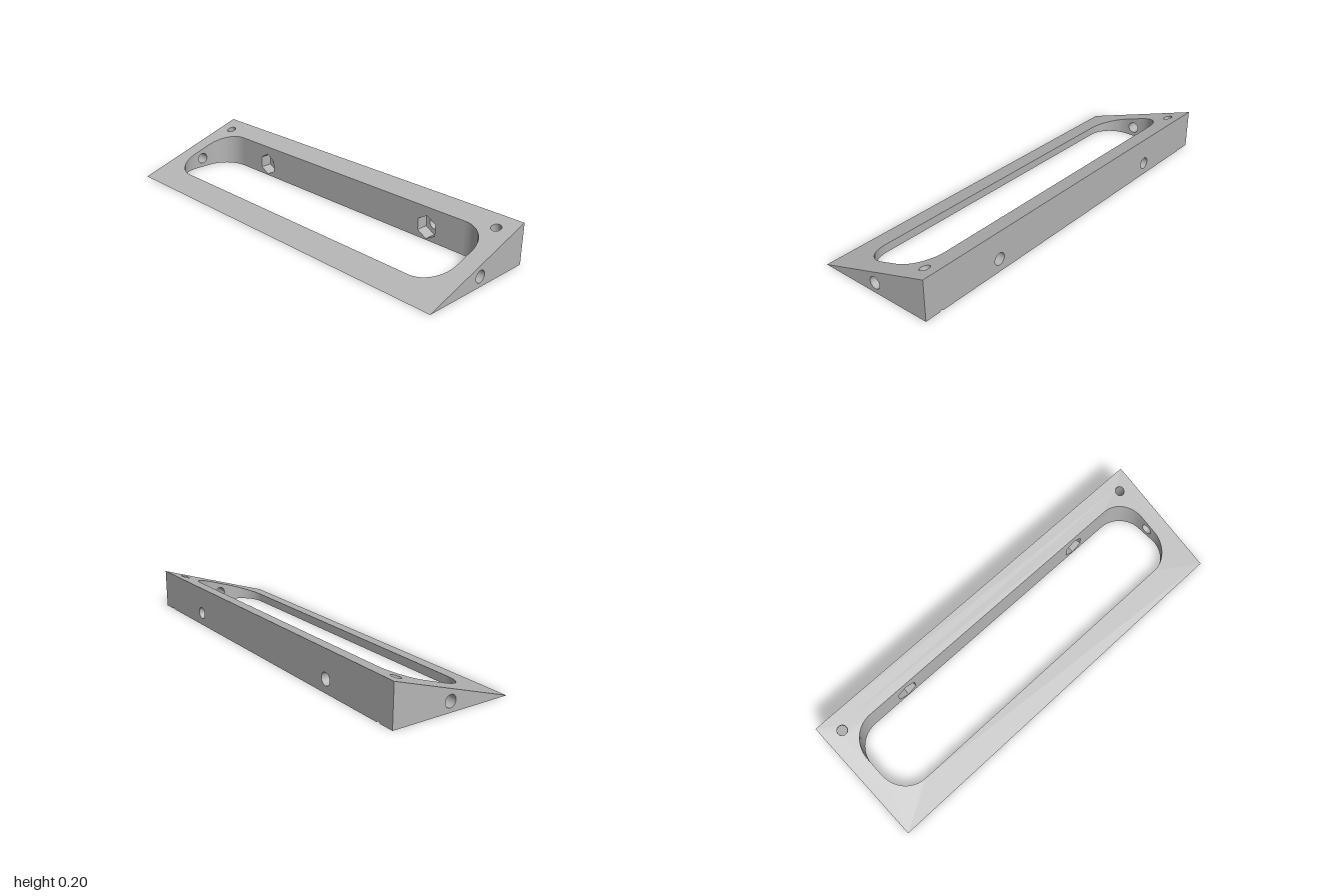
import * as THREE from 'three';

const HX = 0.305, HZ = 1, H = 0.2, K = H / (2 * HX);   // wedge half sizes, height, slope
const X0 = -0.177, X1 = 0.198, ZE = 0.915, R = 0.14;   // rounded opening
const slopeY = (x) => (x + HX) * K;
const V = (x, y, z) => new THREE.Vector3(x, y, z);
const P = (x, y) => new THREE.Vector2(x, y);

// points on an arc as [x, y] pairs
function arc(cx, cy, rx, ry, a0, a1, n) {
  return Array.from({ length: n + 1 }, (_, i) => {
    const a = a0 + (a1 - a0) * i / n;
    return P(cx + rx * Math.cos(a), cy + ry * Math.sin(a));
  });
}
const circle = (cx, cy, r, n = 32) => arc(cx, cy, r, r, 0, 2 * Math.PI, n).slice(0, n);

export function createModel() {
  const group = new THREE.Group();
  const grey = new THREE.MeshStandardMaterial({ color: 0xb6b6b6 });
  grey.name = 'grey';

  function add(name, geo) {
    geo.computeVertexNormals();
    const mesh = new THREE.Mesh(geo, grey);
    mesh.name = name;
    group.add(mesh);
  }

  // flat face with holes, placed in space by map and turned towards outward
  function face(name, contour, holes, map, outward) {
    const shape = new THREE.Shape(contour);
    shape.holes = holes.map((h) => new THREE.Path(h));
    const geo = new THREE.ShapeGeometry(shape);
    const pos = geo.attributes.position;
    for (let i = 0; i < pos.count; i++) {
      const p = map(pos.getX(i), pos.getY(i));
      pos.setXYZ(i, p.x, p.y, p.z);
    }
    const facing = map(1, 0).sub(map(0, 0)).cross(map(0, 1).sub(map(0, 0)));
    if (facing.dot(outward) < 0) geo.index.array.reverse();
    add(name, geo);
  }

  // wall between two rings, facing the centre of the first ring
  function wall(name, a, b, centre, { closed = true, flat = false } = {}) {
    const n = a.length, idx = [];
    const facing = a[1].clone().sub(a[0]).cross(b[0].clone().sub(a[0]));
    const flip = facing.dot(centre.clone().sub(a[0])) < 0;
    for (let i = 0; i < (closed ? n : n - 1); i++) {
      const j = (i + 1) % n;
      const q = [i, j, n + i, j, n + j, n + i];
      idx.push(...(flip ? q.reverse() : q));
    }
    const geo = new THREE.BufferGeometry().setFromPoints([...a, ...b]).setIndex(idx);
    add(name, flat ? geo.toNonIndexed() : geo);
  }

  const onSlope = (x, z) => V(x, slopeY(x), z);
  const onFloor = (x, z) => V(x, 0, z);

  // corners of the opening
  const quarter = Math.PI / 2;
  const corners = [[X1 - R, ZE - R], [X0 + R, ZE - R], [X0 + R, R - ZE], [X1 - R, R - ZE]]
    .map(([x, z], i) => ({ x, z, pts: arc(x, z, R, R, i * quarter, (i + 1) * quarter, 14) }));
  const opening = corners.flatMap((c) => c.pts);
  for (const c of corners) {
    wall('openingCorner', c.pts.map((p) => onSlope(p.x, p.y)), c.pts.map((p) => onFloor(p.x, p.y)),
      onSlope(c.x, c.z), { closed: false });
  }

  // screw holes square to the slope; they just break out of the tall side at the bottom
  const sx = 0.225, sr = 0.024, cosS = 1 / Math.hypot(1, K);
  const bx = sx + slopeY(sx) * K, brx = sr / cosS;
  const t0 = Math.acos((HX - bx) / brx);
  const screw = (z) => {
    const under = arc(bx, z, brx, sr, t0, 2 * Math.PI - t0, 28);
    const notch = arc(bx, z, brx, sr, -t0, t0, 8).map((p) => V(HX, Math.max(0, (p.x - HX) / K), p.y));
    const low = [...under.map((p) => onFloor(p.x, p.y)), ...notch.slice(1, -1)];
    const angles = [
      ...under.map((_, i) => t0 + (2 * Math.PI - 2 * t0) * i / 28),
      ...notch.slice(1, -1).map((_, i) => -t0 + 2 * t0 * (i + 1) / 8)];
    const rim = angles.map((a) => P(sx + sr * cosS * Math.cos(a), z + sr * Math.sin(a)));
    wall('screwHole', rim.map((p) => onSlope(p.x, p.y)), low, onSlope(sx, z));
    return { under, notch, rim };
  };
  const screws = [screw(-ZE), screw(ZE)];

  // sloped top and underside
  face('slopedTop', [P(-HX, -HZ), P(HX, -HZ), P(HX, HZ), P(-HX, HZ)],
    [opening, ...screws.map((s) => s.rim)], onSlope, V(0, 1, 0));
  const underEdge = screws.flatMap((s) => s.under.slice().reverse());
  face('underside', [P(-HX, -HZ), P(HX, -HZ), ...underEdge, P(HX, HZ), P(-HX, HZ)],
    [opening], onFloor, V(0, -1, 0));

  // end walls with a round hole through each
  const endHole = circle(0.012, 0.05, 0.029);
  const xa = X0 + R, xb = X1 - R;
  for (const s of [1, -1]) {
    const outer = (x, y) => V(x, y, s * HZ), inner = (x, y) => V(x, y, s * ZE);
    face('endWall', [P(-HX, 0), P(HX, 0), P(HX, H)], [endHole], outer, V(0, 0, s));
    face('openingEnd', [P(xa, 0), P(xb, 0), P(xb, slopeY(xb)), P(xa, slopeY(xa))],
      [endHole], inner, V(0, 0, -s));
    wall('endHole', endHole.map((p) => outer(p.x, p.y)), endHole.map((p) => inner(p.x, p.y)),
      outer(0.012, 0.05));
  }

  // tall side with bolt holes and six-sided nut pockets behind them
  const hy = 0.064, hz = 0.5625, xf = 0.26;
  const at = (x) => (z, y) => V(x, y, z);
  const bolts = [-hz, hz].map((z) => circle(z, hy, 0.03));
  const nuts = [-hz, hz].map((z) =>
    arc(z, hy, 0.058, 0.058, quarter, quarter + 2 * Math.PI, 6).slice(0, 6));
  const notchEdge = screws.flatMap((s) => s.notch.map((p) => P(p.z, p.y)));
  face('tallSide', [P(-HZ, 0), ...notchEdge, P(HZ, 0), P(HZ, H), P(-HZ, H)],
    bolts, at(HX), V(1, 0, 0));
  const zi = ZE - R;
  const sidePanel = (x) => [P(-zi, 0), P(zi, 0), P(zi, slopeY(x)), P(-zi, slopeY(x))];
  face('openingTallSide', sidePanel(X1), nuts, at(X1), V(-1, 0, 0));
  face('openingLowSide', sidePanel(X0), [], at(X0), V(1, 0, 0));
  bolts.forEach((bolt, i) => {
    const nut = nuts[i], z = i ? hz : -hz;
    const place = (pts, x) => pts.map((p) => at(x)(p.x, p.y));
    wall('boltHole', place(bolt, HX), place(bolt, xf), V(HX, hy, z));
    wall('nutPocket', place(nut, xf), place(nut, X1), V(xf, hy, z), { flat: true });
    face('nutPocketFloor', nut, [bolt], at(xf), V(-1, 0, 0));
  });

  return group;
}
